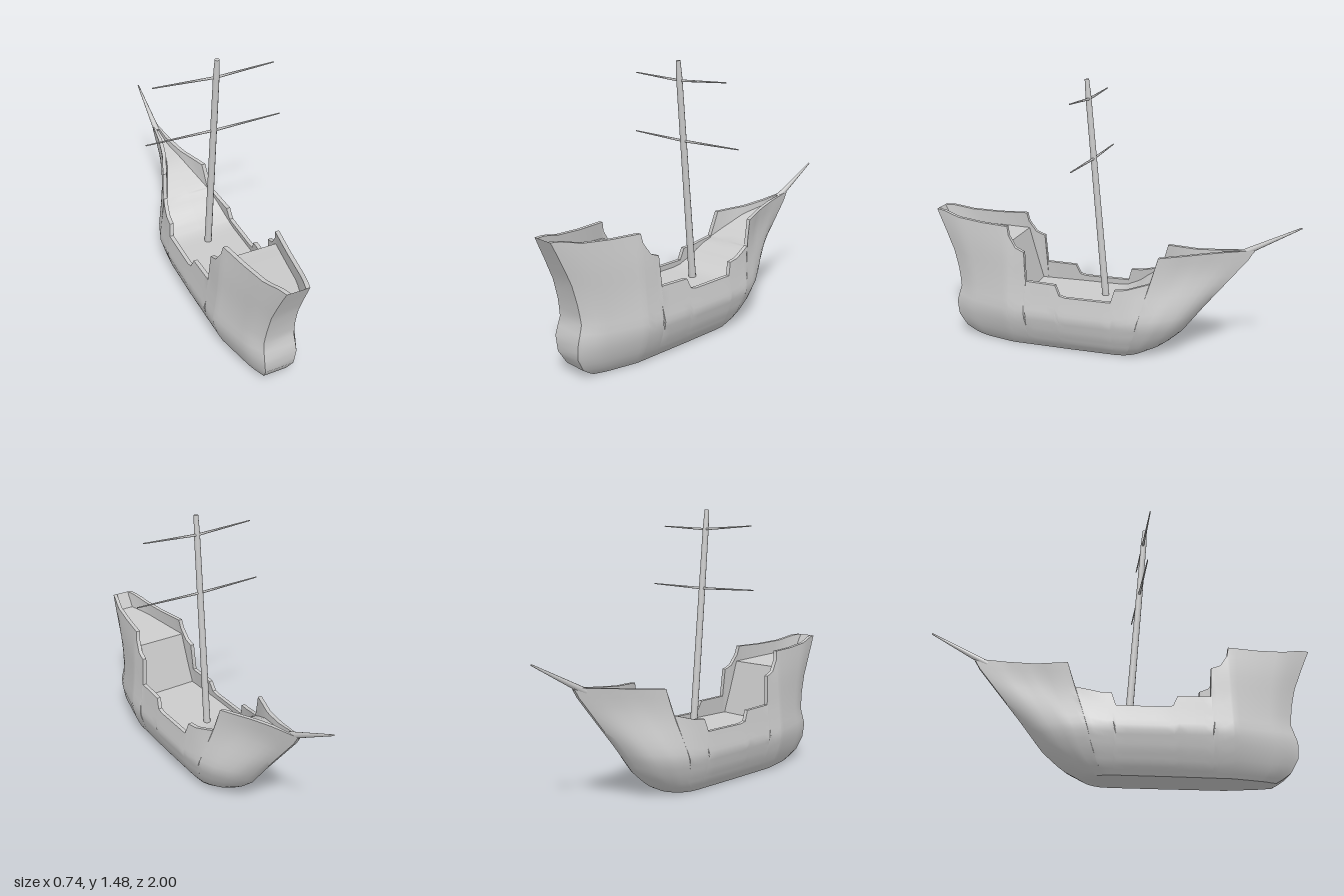
import * as THREE from 'three';
import { toCreasedNormals } from 'three/addons/utils/BufferGeometryUtils.js';

// Linear interpolation in a table of [key, value] rows with rising keys
function lookup(table, k) {
  if (k <= table[0][0]) return table[0][1];
  for (let i = 1; i < table.length; i++) {
    const [k0, v0] = table[i - 1], [k1, v1] = table[i];
    if (k <= k1) return v0 + (v1 - v0) * (k - k0) / (k1 - k0);
  }
  return table[table.length - 1][1];
}

// Hull lines: stern and stem profiles (y -> z), half breadth (y -> x)
const STERN = [[0, 0.77], [0.04, 0.84], [0.12, 0.885], [0.2, 0.89], [0.3, 0.86], [0.4, 0.875], [0.5, 0.9], [0.62, 0.95], [0.73, 1]];
const STEM = [[0, -0.2], [0.05, -0.3], [0.14, -0.4], [0.3, -0.52], [0.61, -0.765], [0.63, -0.77]];
const BREADTH = [[0, 0.115], [0.05, 0.155], [0.12, 0.188], [0.21, 0.213], [0.3, 0.2], [0.4, 0.188], [0.56, 0.178], [0.69, 0.16], [0.73, 0.15]];
// Plan shape (u -> share of the breadth): full below, fine at the upper bow
const PLAN_LOW = [[-0.77, 0.03], [-0.72, 0.3], [-0.63, 0.55], [-0.47, 0.8], [-0.29, 0.95], [-0.05, 1], [0.2, 1], [0.54, 0.96], [0.88, 0.63], [1, 0.42]];
const PLAN_HIGH = [[-0.77, 0.06], [-0.6, 0.2], [-0.47, 0.38], [-0.39, 0.56], [-0.29, 0.77], [-0.17, 0.93], [-0.05, 1], [0.2, 1], [0.54, 0.96], [0.88, 0.63], [1, 0.4]];
// Deck height (u -> y): foredeck ramp, waist, bulkhead, quarterdeck
const DECK = [[-0.77, 0.62], [-0.47, 0.55], [-0.3, 0.44], [-0.15, 0.34], [-0.03, 0.3], [0.46, 0.3], [0.53, 0.6], [1, 0.64]];
// Rail outline in side view, stern to bow: [z, y]
const RAIL = [[1, 0.73], [0.95, 0.727], [0.85, 0.703], [0.7, 0.692], [0.54, 0.69], [0.53, 0.64], [0.49, 0.58], [0.46, 0.567],
  [0.44, 0.56], [0.43, 0.4], [0.26, 0.395], [0.235, 0.34], [0.2, 0.332], [-0.05, 0.332], [-0.07, 0.4], [-0.13, 0.405],
  [-0.25, 0.44], [-0.29, 0.58], [-0.45, 0.592], [-0.74, 0.628], [-0.77, 0.63]];

const AFT = 0.54, FORE = -0.05;
const sternScale = (y) => (lookup(STERN, y) - AFT) / (1 - AFT);
const bowScale = (y) => (lookup(STEM, y) - FORE) / (-0.77 - FORE);
const zAt = (u, y) => u > AFT ? AFT + (u - AFT) * sternScale(y) : u < FORE ? FORE + (u - FORE) * bowScale(y) : u;
const uAt = (z, y) => z > AFT ? Math.min(1, AFT + (z - AFT) / sternScale(y)) : z < FORE ? Math.max(-0.77, FORE + (z - FORE) / bowScale(y)) : z;

function halfWidth(u, y) {
  const blend = THREE.MathUtils.smoothstep(y, 0.2, 0.55);
  return lookup(BREADTH, y) * THREE.MathUtils.lerp(lookup(PLAN_LOW, u), lookup(PLAN_HIGH, u), blend);
}

const ROWS = 16;

// One half of a cross-section: keel, side up to the rail, inner wall, deck centre
function halfSection([z, top]) {
  const u = uAt(z, top), pts = [[0, 0, zAt(u, 0)]];
  for (let j = 0; j <= ROWS; j++) {
    const y = top * Math.pow(j / ROWS, 1.3);
    pts.push([halfWidth(u, y), y, zAt(u, y)]);
  }
  const thick = (y) => Math.max(halfWidth(u, y) - 0.022, halfWidth(u, y) * 0.4);
  const deck = Math.min(lookup(DECK, u), top - 0.01);
  pts.push([thick(top), top, z], [thick(deck), deck, zAt(u, deck)], [0, deck, zAt(u, deck)]);
  return pts;
}

function hullGeometry() {
  // Fill in stations between the rail corners
  const stations = [RAIL[0]];
  for (let i = 1; i < RAIL.length; i++) {
    const [z0, y0] = RAIL[i - 1], [z1, y1] = RAIL[i];
    const n = Math.ceil((z0 - z1) / 0.05);
    for (let k = 1; k <= n; k++) stations.push([z0 + (z1 - z0) * k / n, y0 + (y1 - y0) * k / n]);
  }
  const pos = [], index = [];
  let loop = 0, half = 0;
  for (const s of stations) {
    const right = halfSection(s);
    const left = right.slice(1).reverse().map(([x, y, z]) => [-x, y, z]);
    half = left.length;
    loop = half + right.length;
    pos.push(...left.flat(), ...right.flat());
  }
  for (let i = 0; i < stations.length - 1; i++) {
    for (let j = 0; j < loop - 1; j++) {
      const a = i * loop + j, b = a + 1, c = a + loop, d = c + 1;
      index.push(a, c, b, b, c, d);
    }
  }
  // Transom and stem closing faces
  const last = (stations.length - 1) * loop;
  for (let k = 1; k <= ROWS; k++) {
    const l = half - k, r = half + k;
    index.push(l, r, r + 1, l, r + 1, l - 1);
    index.push(last + l, last + r + 1, last + r, last + l, last + l - 1, last + r + 1);
  }
  const geo = new THREE.BufferGeometry();
  geo.setAttribute('position', new THREE.Float32BufferAttribute(pos, 3));
  geo.setIndex(index);
  return toCreasedNormals(geo, 0.7);
}

// Tapered round spar between two points
function spar(name, from, to, r0, r1, material, sides = 10) {
  const a = new THREE.Vector3(...from), b = new THREE.Vector3(...to);
  const dir = b.clone().sub(a);
  const mesh = new THREE.Mesh(new THREE.CylinderGeometry(r1, r0, dir.length(), sides), material);
  mesh.name = name;
  mesh.position.copy(a).add(b).multiplyScalar(0.5);
  mesh.quaternion.setFromUnitVectors(new THREE.Vector3(0, 1, 0), dir.normalize());
  return mesh;
}

export function createModel() {
  const model = new THREE.Group();
  model.name = 'sailingShip';
  const grey = new THREE.MeshStandardMaterial({ color: 0xcccccc });
  const hullMaterial = new THREE.MeshStandardMaterial({ color: 0xcccccc, side: THREE.DoubleSide });

  const hull = new THREE.Mesh(hullGeometry(), hullMaterial);
  hull.name = 'hull';
  hull.position.x = -0.008;
  model.add(hull);

  model.add(spar('bowsprit', [-0.01, 0.605, -0.7], [-0.01, 0.767, -0.999], 0.018, 0.004, grey));

  // Raked mast with a narrower head
  const mast = new THREE.Group();
  mast.name = 'mast';
  mast.add(spar('lowerMast', [-0.007, 0.28, 0.03], [-0.007, 1.38, 0.123], 0.02, 0.016, grey));
  mast.add(spar('mastHead', [-0.007, 1.38, 0.123], [-0.007, 1.475, 0.131], 0.016, 0.012, grey));
  model.add(mast);

  // Yards, each of two arms tapering outward and rising slightly
  const yards = [['lowerYard', 1.06, 1.067, 0.095, -0.372, 0.37], ['upperYard', 1.373, 1.389, 0.118, -0.335, 0.308]];
  for (const [name, yMid, yEnd, z, xRight, xLeft] of yards) {
    const yard = new THREE.Group();
    yard.name = name;
    for (const x of [xRight, xLeft]) yard.add(spar('yardArm', [-0.007, yMid, z], [x, yEnd, z], 0.007, 0.003, grey, 6));
    model.add(yard);
  }
  return model;
}
